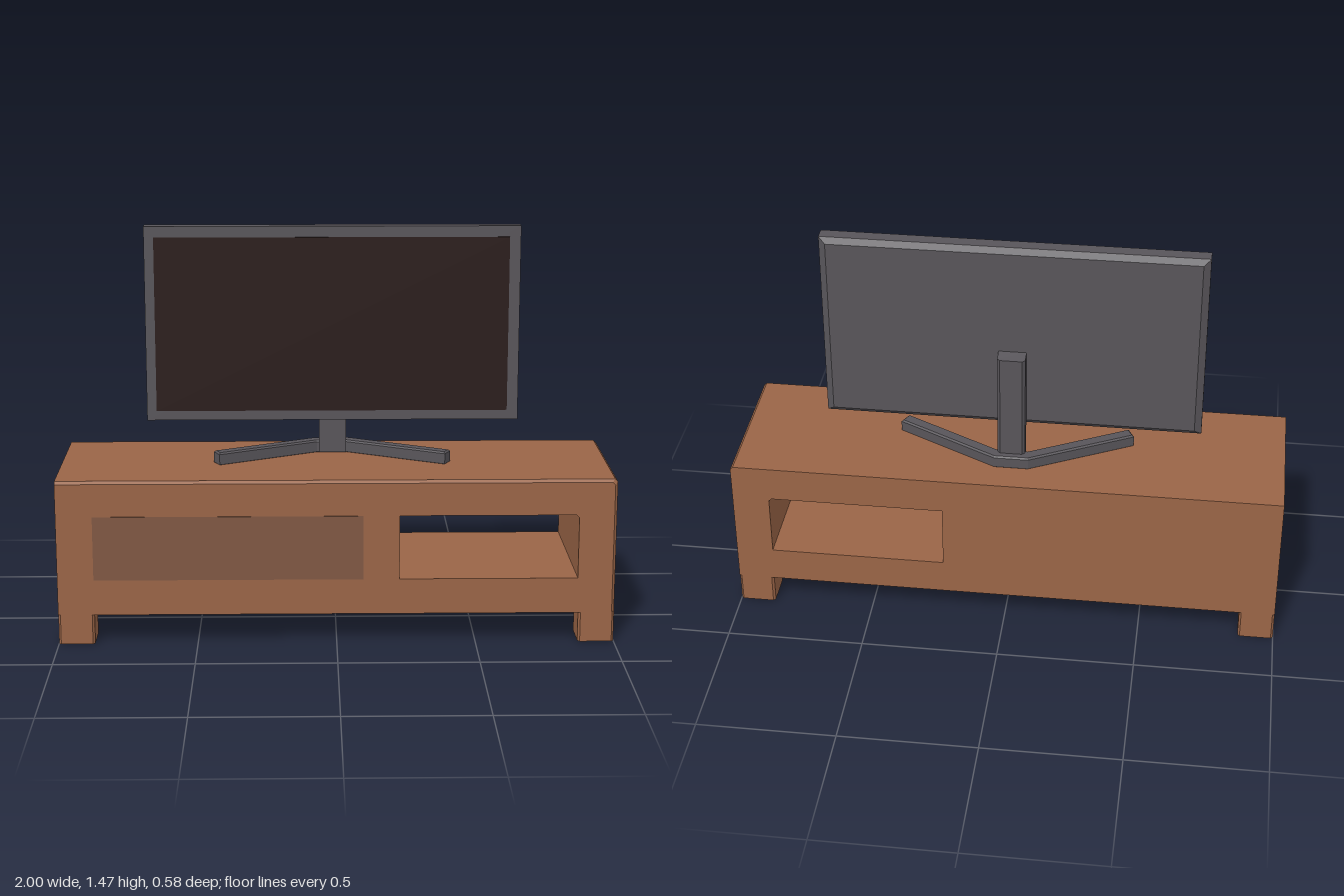
import * as THREE from 'three';

const paint = (color) => new THREE.MeshStandardMaterial({ color, flatShading: true });
const wood = paint(0x9a6547);
const panelWood = paint(0x805843);
const plastic = paint(0x58555a);
const glass = paint(0x2a1c1a);

const outline = (pts) => new THREE.Shape(pts.map(([x, y]) => new THREE.Vector2(x, y)));

function add(parent, name, geometry, material, x = 0, y = 0, z = 0) {
  const mesh = new THREE.Mesh(geometry, material);
  mesh.name = name;
  mesh.position.set(x, y, z);
  parent.add(mesh);
  return mesh;
}

// Move every vertex of a geometry by a rule
function reshape(geometry, rule) {
  const p = geometry.attributes.position;
  const v = new THREE.Vector3();
  for (let i = 0; i < p.count; i++) {
    v.fromBufferAttribute(p, i);
    rule(v);
    p.setXYZ(i, v.x, v.y, v.z);
  }
  geometry.computeVertexNormals();
  return geometry;
}

// Plan outline given as [x, z], raised along y
function plan(pts, height, bevel = 0) {
  const g = new THREE.ExtrudeGeometry(outline(pts.map(([x, z]) => [x, -z])), {
    depth: height - 2 * bevel, bevelEnabled: bevel > 0, bevelSegments: 1,
    bevelThickness: bevel, bevelSize: bevel, bevelOffset: -bevel,
  });
  return g.translate(0, 0, bevel).rotateX(-Math.PI / 2);
}

function cabinet() {
  const group = new THREE.Group();
  group.name = 'cabinet';
  const c = 0.01, top = 0.605;

  // Body with an open compartment running through it
  const body = outline([[-1, 0.11], [1, 0.11], [1, top - c], [1 - c, top], [-1, top]]);
  body.holes.push(outline([[0.225, 0.24], [0.225, 0.475], [0.855, 0.475], [0.865, 0.465], [0.865, 0.24]]));
  const bodyGeo = new THREE.ExtrudeGeometry(body, { depth: 1, steps: 2, bevelEnabled: false });
  // Chamfer the top and right edges of the front
  reshape(bodyGeo, (v) => {
    if (v.z > 0.9) {
      if (v.x > 0.95) v.x -= c;
      if (v.y > 0.55) v.y -= c;
    }
    v.z = v.z < 0.1 ? -0.29 : v.z < 0.9 ? 0.28 : 0.29;
  });
  add(group, 'body', bodyGeo, wood);

  // Closed compartment door
  add(group, 'door', new THREE.BoxGeometry(0.965, 0.235, 0.01), panelWood, -0.3875, 0.3575, 0.287);

  // Corner legs with chamfered uprights
  const h = 0.065, k = h - 0.008;
  const legGeo = plan([[-k, h], [k, h], [h, k], [h, -k], [k, -h], [-k, -h], [-h, -k], [-h, k]], 0.112);
  for (const sx of [-1, 1])
    for (const sz of [-1, 1]) add(group, 'leg', legGeo, wood, sx * 0.935, 0, sz * 0.225);
  return group;
}

function television() {
  const group = new THREE.Group();
  group.name = 'television';

  // Housing with its rear edges tapered
  const housing = reshape(new THREE.BoxGeometry(1.36, 0.715, 1, 1, 1, 2), (v) => {
    if (v.z < -0.4) {
      v.x -= Math.sign(v.x) * 0.025;
      v.y -= Math.sign(v.y) * 0.02;
    }
    v.z = v.z > 0.4 ? -0.035 : v.z > -0.4 ? -0.083 : -0.1;
  });
  add(group, 'housing', housing, plastic, -0.01, 1.1075, 0);
  add(group, 'screen', new THREE.BoxGeometry(1.285, 0.64, 0.01), glass, -0.0125, 1.105, -0.038);

  // Upright behind the screen, chamfered at the back
  const neck = plan([[-0.05, -0.1], [0.05, -0.1], [0.05, -0.137], [0.04, -0.147], [-0.04, -0.147], [-0.05, -0.137]], 0.445);
  reshape(neck, (v) => { if (v.y > 0.4 && v.z < -0.13) v.y -= 0.01; });
  add(group, 'neck', neck, plastic, -0.01, 0.61, 0);

  // V-shaped foot
  const half = [[0.055, -0.122], [0.41, 0.065], [0.432, 0.022], [0.062, -0.173]];
  const mirrored = half.map(([x, z]) => [-x, z]).reverse();
  add(group, 'foot', plan([...half, ...mirrored], 0.05, 0.006), plastic, -0.0125, 0.6, 0);
  return group;
}

export function createModel() {
  const model = new THREE.Group();
  model.name = 'televisionOnCabinet';
  model.add(cabinet(), television());
  return model;
}
